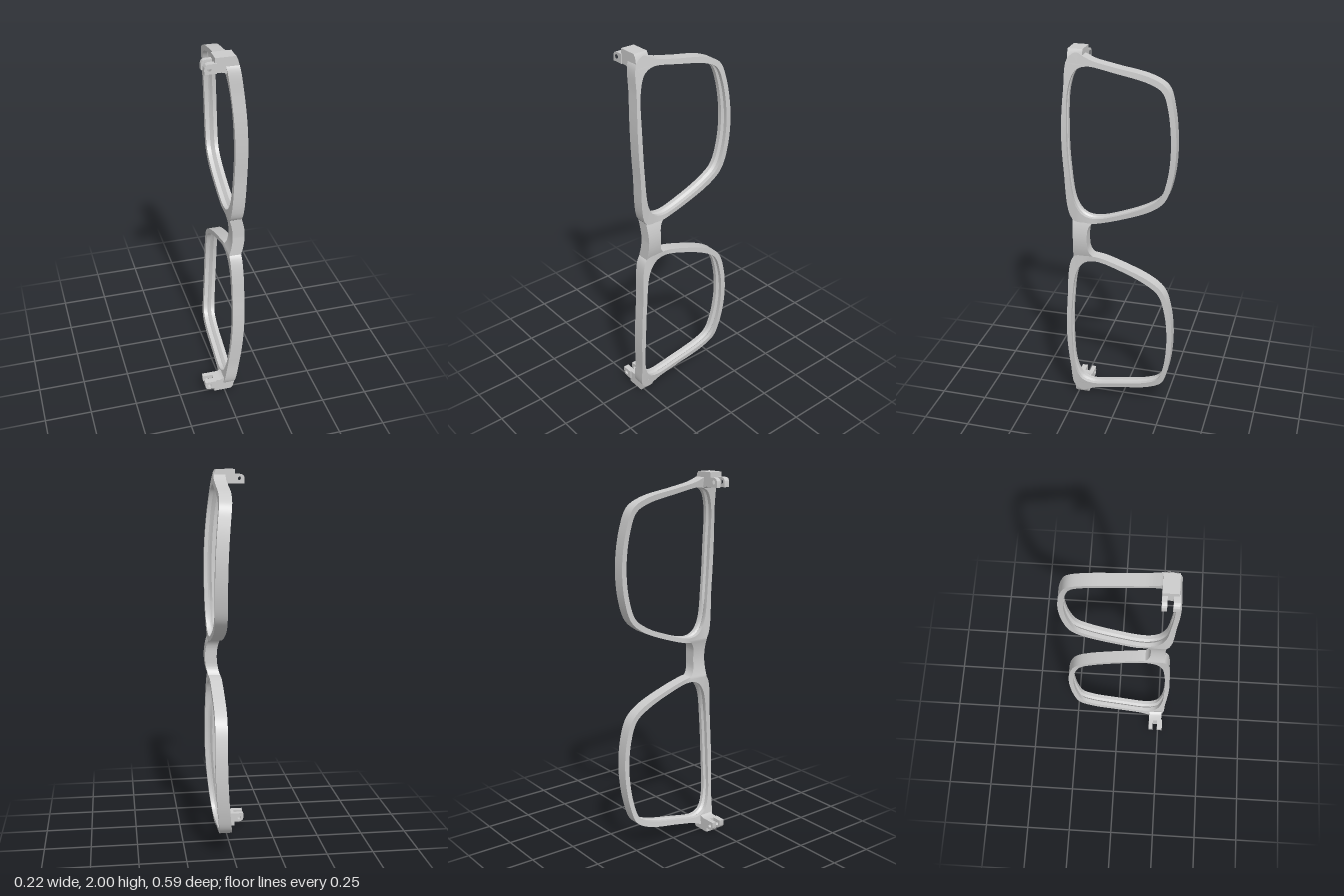
import * as THREE from 'three';
import { toCreasedNormals } from 'three/addons/utils/BufferGeometryUtils.js';

const THICK = 0.064;

// Front surface depth (x) at distance d from the bridge centre
function frontX(d) {
  if (d < 0.105) return 0.107 - 0.018 * (d / 0.105) ** 2;
  const k = d < 0.45 ? 0.1 : 0.169;
  return 0.101 - k * (d - 0.45) ** 2;
}

// Skin a list of closed cross-sections; optionally join last to first
function skin(rows, closed) {
  const n = rows[0].length;
  const index = [];
  const count = closed ? rows.length : rows.length - 1;
  for (let i = 0; i < count; i++) {
    const i2 = (i + 1) % rows.length;
    for (let j = 0; j < n; j++) {
      const j2 = (j + 1) % n;
      const a = i * n + j, b = i * n + j2, c = i2 * n + j, d = i2 * n + j2;
      index.push(a, b, c, c, b, d);
    }
  }
  const geo = new THREE.BufferGeometry();
  geo.setAttribute('position', new THREE.Float32BufferAttribute(rows.flat(2), 3));
  geo.setIndex(index);
  return toCreasedNormals(geo, 0.6);
}

// Lens opening and rim outline as pairs: inner z, inner d, outer z, outer d
const RIM = [
  [0.15, 0.922, 0.14, 0.95],
  [0.03, 0.9, 0.03, 0.927],
  [-0.15, 0.86, -0.155, 0.89],
  [-0.214, 0.823, -0.235, 0.845],
  [-0.245, 0.74, -0.27, 0.75],
  [-0.265, 0.553, -0.292, 0.553],
  [-0.25, 0.384, -0.277, 0.375],
  [-0.214, 0.278, -0.24, 0.265],
  [-0.156, 0.23, -0.175, 0.207],
  [-0.02, 0.167, -0.02, 0.14],
  [0.13, 0.124, 0.125, 0.098],
  [0.193, 0.14, 0.18, 0.097],
  [0.235, 0.2, 0.251, 0.11],
  [0.262, 0.394, 0.288, 0.394],
  [0.27, 0.606, 0.296, 0.606],
  [0.262, 0.807, 0.285, 0.807],
  [0.232, 0.892, 0.27, 0.95],
  [0.2, 0.915, 0.225, 0.985],
  [0.175, 0.921, 0.185, 0.968],
];

// Rim with a V-shaped lens groove in its inner wall
function rimGeometry(side) {
  const loop = (z, d) => new THREE.CatmullRomCurve3(
    RIM.map((p) => new THREE.Vector3(0, p[d], p[z])), true, 'centripetal');
  const inner = loop(0, 1), outer = loop(2, 3);
  const rows = [];
  const steps = 152;
  for (let i = 0; i < steps; i++) {
    const a = inner.getPoint(i / steps), b = outer.getPoint(i / steps);
    const g = a.clone().add(b.clone().sub(a).setLength(0.013));
    const at = (p, back) => [frontX(p.y) - back, 1 + side * p.y, p.z];
    rows.push([
      at(a, 0), at(a, 0.02), at(g, 0.031), at(a, 0.042),
      at(a, THICK), at(b, THICK), at(b, 0),
    ]);
  }
  if (side < 0) rows.reverse();
  return skin(rows, true);
}

// Arched bridge whose lower edge flares into both rims
function bridgeGeometry() {
  const rows = [];
  for (let i = -18; i <= 18; i++) {
    const y = i * 0.006, d = Math.abs(y);
    const low = 0.17 - 0.042 * (d / 0.108) ** 4;
    const high = 0.246 + 0.004 * (d / 0.108);
    const f = frontX(d), b = f - THICK;
    rows.push([[f, 1 + y, high], [f, 1 + y, low], [b, 1 + y, low], [b, 1 + y, high]]);
  }
  return skin(rows, false);
}

// Extrude an (x, y) shape between two z values
function slab(shape, z0, z1) {
  const geo = new THREE.ExtrudeGeometry(shape, {
    depth: z1 - z0, bevelEnabled: false, curveSegments: 10,
  });
  geo.translate(0, 0, z0);
  return toCreasedNormals(geo, 0.6);
}

// Solid corner block that carries the hinge
function endBlockShape(side) {
  const pts = [
    [-0.058, 1], [0.04, 1], [0.05, 0.985], [frontX(0.928), 0.928],
    [0.0, 0.922], [-0.005, 0.917], [-0.014, 0.923], [-0.026, 0.926], [-0.058, 0.926],
  ];
  return new THREE.Shape(pts.map(([x, d]) => new THREE.Vector2(x, 1 + side * d)));
}

// Hinge knuckle with a rounded corner and a pin hole
function knuckleShape(side) {
  const y = (d) => 1 + side * d;
  const s = new THREE.Shape();
  s.moveTo(-0.05, y(0.926));
  s.lineTo(-0.11, y(0.926));
  s.lineTo(-0.11, y(0.953));
  s.quadraticCurveTo(-0.108, y(0.974), -0.086, y(0.975));
  s.lineTo(-0.05, y(0.975));
  s.closePath();
  const hole = new THREE.Path();
  hole.absarc(-0.086, y(0.952), 0.011, 0, Math.PI * 2, true);
  s.holes.push(hole);
  return s;
}

export function createModel() {
  const group = new THREE.Group();
  const material = new THREE.MeshStandardMaterial({ color: 0xcccccc });
  const add = (name, geo) => {
    const mesh = new THREE.Mesh(geo, material);
    mesh.name = name;
    group.add(mesh);
  };

  add('bridge', bridgeGeometry());
  for (const side of [1, -1]) {
    const label = side > 0 ? 'upper' : 'lower';
    add(label + 'Rim', rimGeometry(side));
    add(label + 'EndBlock', slab(endBlockShape(side), 0.193, 0.268));
    add(label + 'InnerKnuckle', slab(knuckleShape(side), 0.193, 0.217));
    add(label + 'OuterKnuckle', slab(knuckleShape(side), 0.244, 0.274));
  }
  return group;
}
